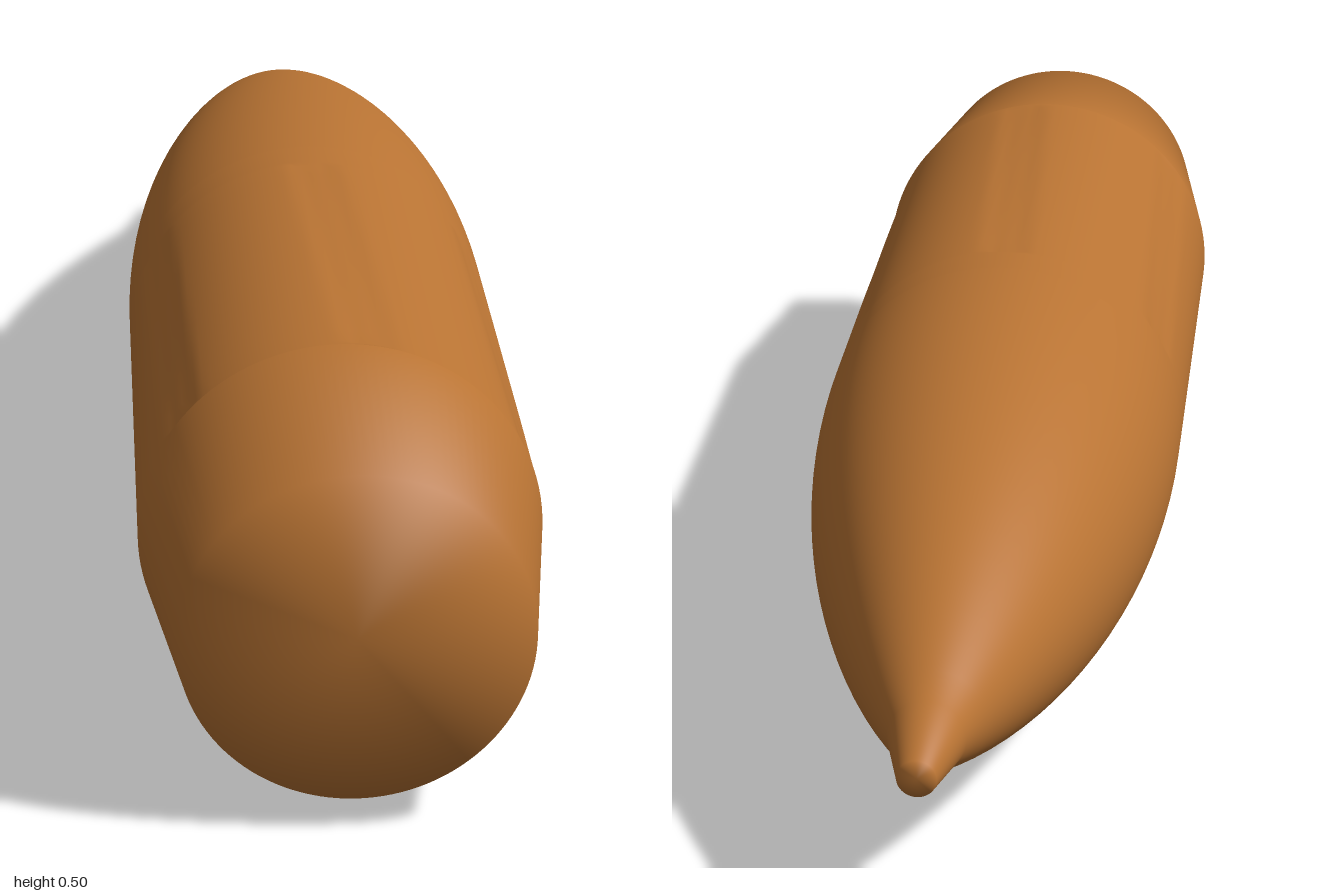
import * as THREE from 'three';
import { mergeVertices } from 'three/addons/utils/BufferGeometryUtils.js';

const RADIUS = 0.25;
const SEGMENTS = 120;

// Turn a profile of [radius, z] points around the z axis, ordered from tip to base
function turned(points) {
  const geo = new THREE.LatheGeometry(points.map(([r, z]) => new THREE.Vector2(r, z)), SEGMENTS);
  return geo.rotateX(Math.PI / 2);
}

// Press six shallow, slightly twisted grooves into the straight section
function cutGrooves(geo) {
  const pos = geo.attributes.position;
  const pitch = Math.PI / 3;
  for (let i = 0; i < pos.count; i++) {
    const x = pos.getX(i), y = pos.getY(i), z = pos.getZ(i);
    if (z < 0.065 || z > 0.705) continue;
    const angle = Math.atan2(x, y) - 0.02 - (z - 0.07) * 0.2;
    const offset = Math.abs(angle - pitch * Math.round(angle / pitch));
    const depth = 0.003 * (1 - THREE.MathUtils.smoothstep(offset, 0.07, 0.15));
    const k = 1 - depth / RADIUS;
    pos.setXY(i, x * k, y * k);
  }
  geo.deleteAttribute('normal');
  geo.deleteAttribute('uv');
  const merged = mergeVertices(geo, 1e-5);
  merged.computeVertexNormals();
  return merged;
}

export function createModel() {
  const group = new THREE.Group();
  const copper = new THREE.MeshStandardMaterial({ color: 0xb87333 });
  copper.name = 'copper';

  const add = (name, geo) => {
    const mesh = new THREE.Mesh(geo, copper);
    mesh.name = name;
    mesh.position.y = RADIUS;
    group.add(mesh);
  };

  // Blunt tip and curved nose, a circular arc tangent to the body
  const nose = [[0, -1], [0.024, -1]];
  const arc = 2.106;
  for (let i = 0; i <= 20; i++) {
    const z = -0.9 + 0.045 * i;
    nose.push([RADIUS - arc + Math.sqrt(arc * arc - z * z), z]);
  }
  add('nose', turned(nose));

  // Straight body with grooves
  const body = [[RADIUS, 0], [RADIUS, 0.06]];
  for (let i = 0; i <= 16; i++) body.push([RADIUS, 0.07 + 0.0393 * i]);
  body.push([RADIUS, 0.71]);
  add('body', cutGrooves(turned(body)));

  // Tapered tail closed by a flat base, shaded smoothly across the rim
  add('tail', turned([[RADIUS, 0.71], [0.21, 1], [0, 1]]));

  return group;
}
